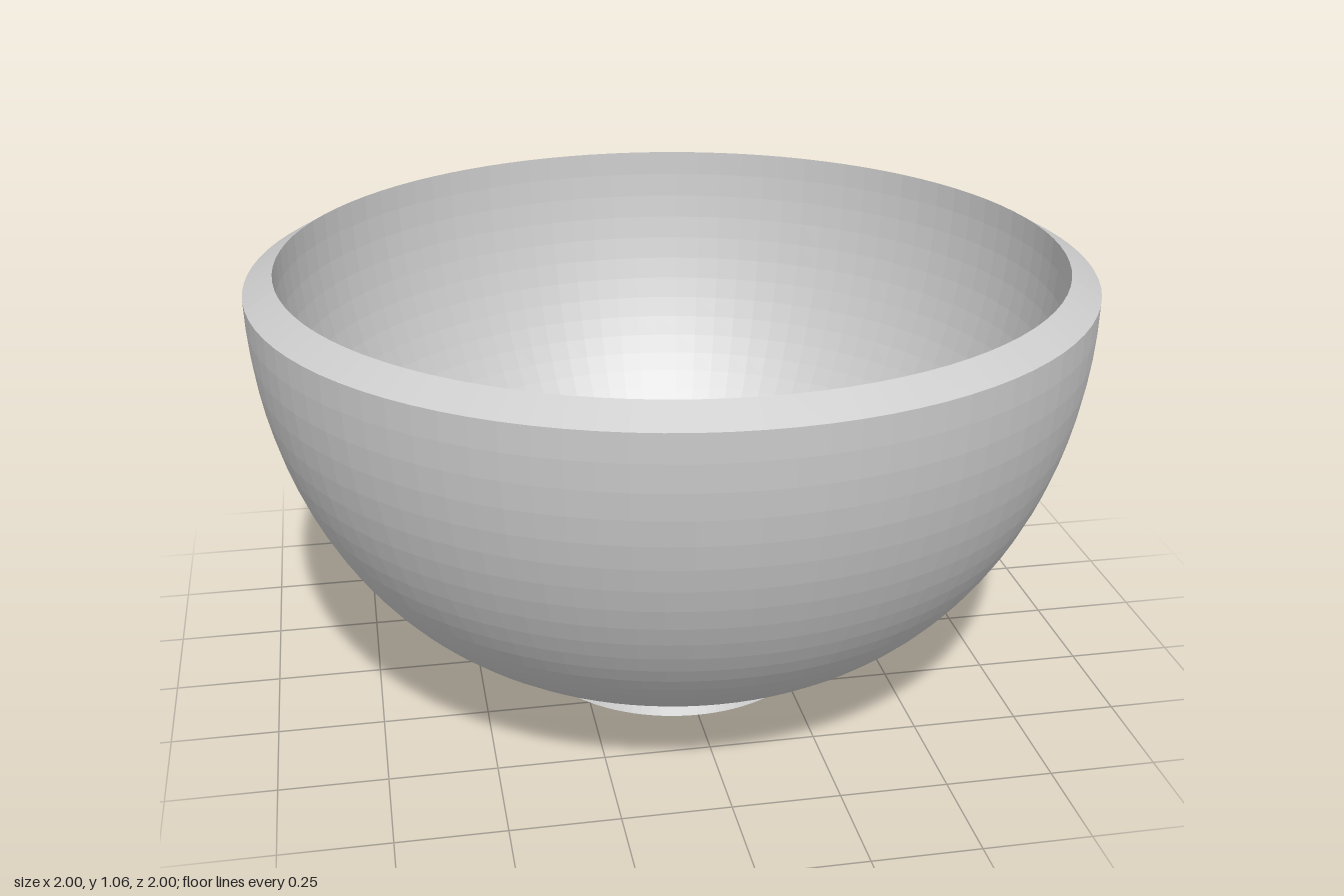
import * as THREE from 'three';

const SEGMENTS = 96;
const v = (x, y) => new THREE.Vector2(x, y);

// Samples a cubic curve given by four profile points
function curve(a, b, c, d, steps) {
  return new THREE.CubicBezierCurve(a, b, c, d).getPoints(steps);
}

export function createModel() {
  const group = new THREE.Group();
  group.name = 'footedBowl';

  const ceramic = new THREE.MeshStandardMaterial({ color: 0xcccccc });
  ceramic.name = 'paleGrey';
  ceramic.flatShading = true;

  // Each part is a turned profile
  function turn(name, points) {
    const mesh = new THREE.Mesh(new THREE.LatheGeometry(points, SEGMENTS), ceramic);
    mesh.name = name;
    group.add(mesh);
  }

  // Flared foot ring with a recessed underside
  turn('foot', [v(0, 0.06), v(0.285, 0.06), v(0.285, 0), v(0.355, 0), v(0.31, 0.09)]);

  // Rounded outside wall
  turn('outerWall', curve(v(0.31, 0.09), v(0.68, 0.09), v(1, 0.49), v(1, 1.02), 24));

  // Bevelled lip sloping up to the opening
  turn('rim', [v(1, 1.02), v(0.93, 1.06)]);

  // Hollow inside with a flat floor
  turn('innerWall', [
    ...curve(v(0.93, 1.06), v(0.93, 0.55), v(0.63, 0.17), v(0.27, 0.17), 24),
    v(0, 0.17),
  ]);

  return group;
}
